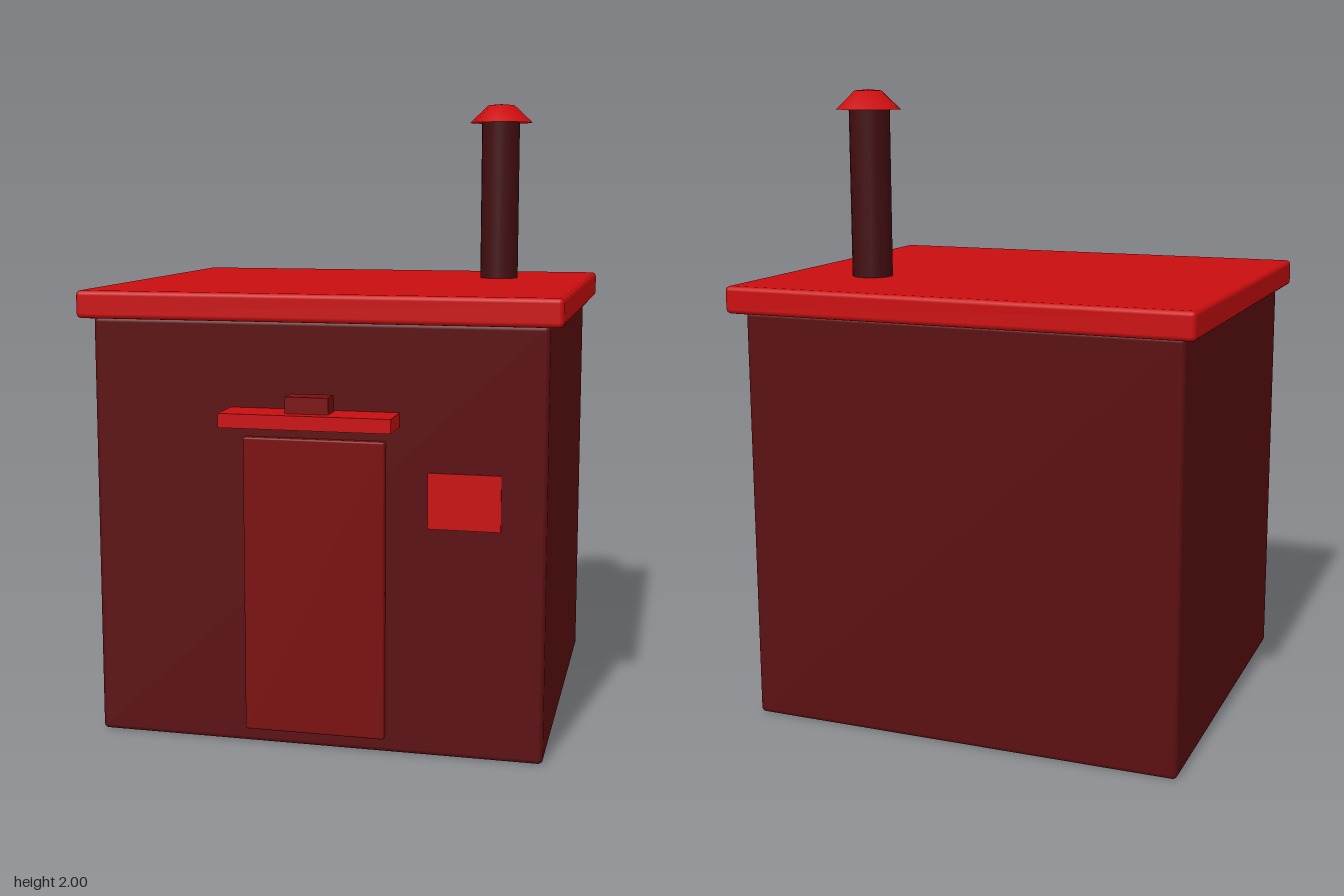
import * as THREE from 'three';
import { RoundedBoxGeometry } from 'three/addons/geometries/RoundedBoxGeometry.js';

function material(name, color, side = THREE.FrontSide) {
  const m = new THREE.MeshStandardMaterial({ color, side });
  m.name = name;
  return m;
}

export function createModel() {
  const group = new THREE.Group();
  const brightRed = material('bright red', 0xca0d0f, THREE.DoubleSide);
  const wallRed = material('dark wall red', 0x5b0f11);
  const doorRed = material('door red', 0x7a0e0f);
  const pipeRed = material('sooty pipe red', 0x420d10);

  const add = (name, geometry, mat, x, y, z) => {
    const mesh = new THREE.Mesh(geometry, mat);
    mesh.name = name;
    mesh.position.set(x, y, z);
    group.add(mesh);
  };
  // Boxes are given by their lower and upper limits on each axis
  const box = (name, mat, [x0, x1], [y0, y1], [z0, z1], bevel = 0) => {
    const size = [x1 - x0, y1 - y0, z1 - z0];
    const geometry = bevel
      ? new RoundedBoxGeometry(...size, 2, bevel)
      : new THREE.BoxGeometry(...size);
    add(name, geometry, mat, (x0 + x1) / 2, (y0 + y1) / 2, (z0 + z1) / 2);
  };

  // Hut walls and overhanging flat roof
  box('walls', wallRed, [-0.703, 0.703], [0, 1.325], [-0.655, 0.573], 0.015);
  box('roof', brightRed, [-0.745, 0.745], [1.322, 1.408], [-0.705, 0.613], 0.015);

  // Door, canopy above it, and the small lamp block on the canopy
  box('door', doorRed, [-0.22, 0.22], [0.047, 0.97], [0.55, 0.595], 0.006);
  box('canopy', brightRed, [-0.262, 0.262], [1.015, 1.058], [0.56, 0.705]);
  box('lamp', doorRed, [-0.066, 0.066], [1.058, 1.108], [0.595, 0.667]);

  // Thin notice plate beside the door
  box('noticePlate', brightRed, [0.348, 0.568], [0.71, 0.88], [0.57, 0.577]);

  // Stovepipe with an eight-sided domed cap
  add('stovepipe', new THREE.CylinderGeometry(0.065, 0.065, 0.58, 16), pipeRed, 0.437, 1.67, -0.305);
  const capProfile = [[0.108, 0], [0.045, 0.059], [0, 0.063]]
    .map(([r, y]) => new THREE.Vector2(r, y));
  add('stovepipeCap', new THREE.LatheGeometry(capProfile, 8), brightRed, 0.437, 1.937, -0.31);

  return group;
}
